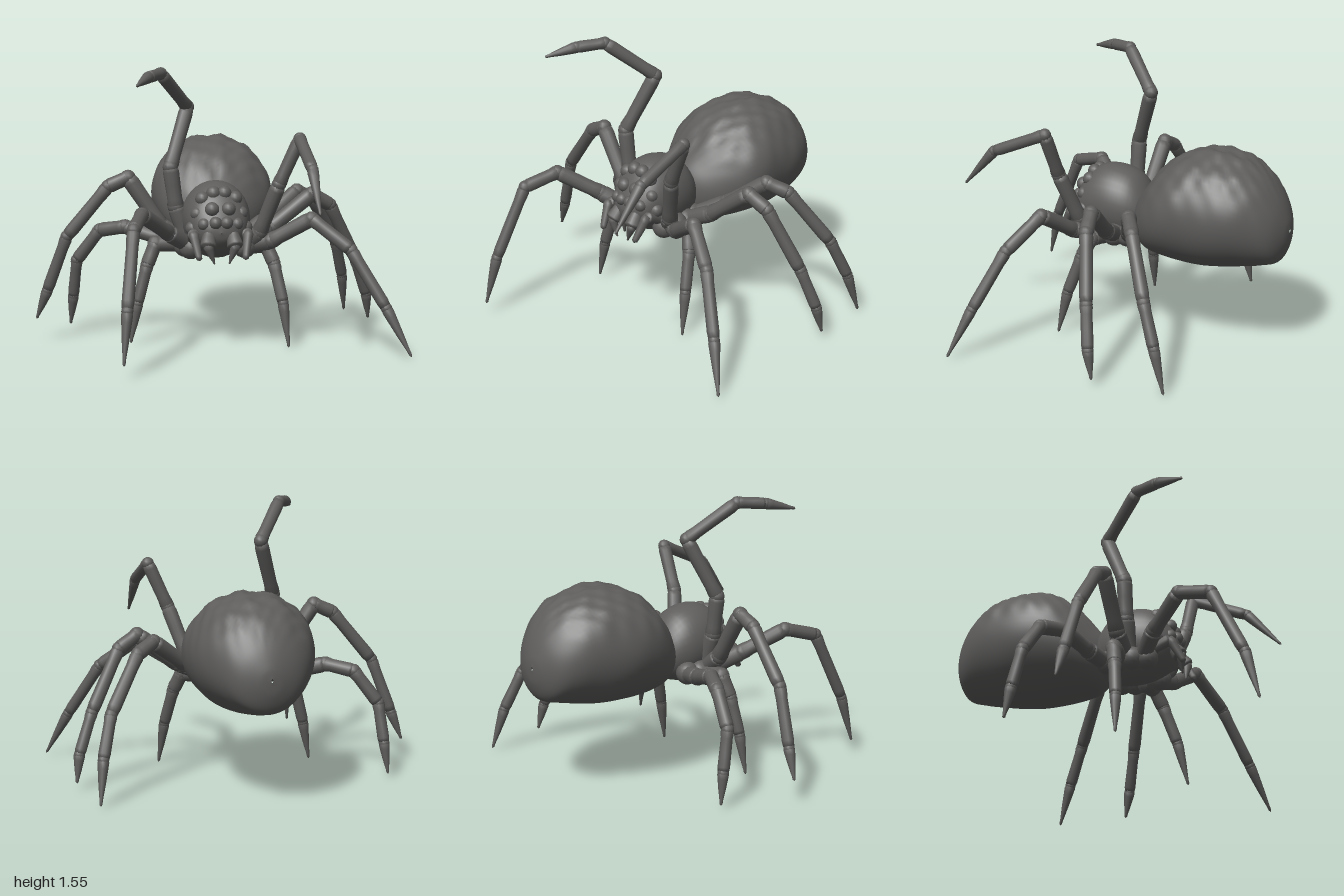
import * as THREE from 'three';
import { mergeVertices } from 'three/addons/utils/BufferGeometryUtils.js';

const charcoal = new THREE.MeshStandardMaterial({ color: 0x5e5d5c });
charcoal.name = 'charcoal';

function add(parent, geometry, name) {
  const mesh = new THREE.Mesh(geometry, charcoal);
  mesh.name = name;
  parent.add(mesh);
  return mesh;
}

// Skin over cross-sections [z, bottom, top, halfWidth, centreX], ordered back to front
function loft(sections, rings, sides, relief) {
  const spine = new THREE.CatmullRomCurve3(sections.map(s => new THREE.Vector3(s[0], s[1], s[2])));
  const width = new THREE.CatmullRomCurve3(sections.map(s => new THREE.Vector3(s[0], s[3], s[4])));
  const pos = [], index = [];
  for (let i = 0; i <= rings; i++) {
    const p = spine.getPoint(i / rings), w = width.getPoint(i / rings);
    for (let j = 0; j < sides; j++) {
      const a = j / sides * Math.PI * 2;
      const k = 1 + (relief ? relief(p.x, a) : 0);
      pos.push(w.z + w.y * k * Math.cos(a), (p.y + p.z) / 2 + (p.z - p.y) / 2 * k * Math.sin(a), p.x);
      if (i < rings) {
        const q = i * sides + j, r = i * sides + (j + 1) % sides;
        index.push(q, r, r + sides, q, r + sides, q + sides);
      }
    }
  }
  const g = new THREE.BufferGeometry();
  g.setAttribute('position', new THREE.Float32BufferAttribute(pos, 3));
  g.setIndex(index);
  g.computeVertexNormals();
  return g;
}

// Limb segment: narrow at the start, flared near the far joint
function segment(parent, a, b, r0, r1, name) {
  const dir = b.clone().sub(a), L = dir.length();
  const profile = [[0, -r0 * 0.5], [r0 * 0.7, -r0 * 0.35], [r0 * 0.95, L * 0.06], [r0 * 0.85, L * 0.2],
    [(r0 + r1) * 0.46, L * 0.55], [r1, L * 0.88], [r1 * 0.9, L * 0.97], [0, L + r1 * 0.3]];
  const g = new THREE.LatheGeometry(profile.map(p => new THREE.Vector2(p[0], p[1])), 12);
  const mesh = add(parent, g, name);
  mesh.position.copy(a);
  mesh.quaternion.setFromUnitVectors(new THREE.Vector3(0, 1, 0), dir.normalize());
}

function limb(parent, points, name) {
  const group = new THREE.Group();
  group.name = name;
  const v = points.map(p => new THREE.Vector3(...p)), last = v.length - 1;
  const radius = i => i === last ? 0.009 : 0.053 - 0.02 * i / (last - 1);
  for (let i = 0; i < last; i++) {
    segment(group, v[i], v[i + 1], radius(i), radius(i + 1), i === last - 1 ? 'claw' : 'legSegment');
    if (i) {
      const joint = add(group, new THREE.SphereGeometry(radius(i) * 0.95, 12, 8), 'joint');
      joint.position.copy(v[i]);
    }
  }
  parent.add(group);
}

// Soft ridges and knobs over the upper back
function backRelief(z, a) {
  const up = Math.max(0, Math.sin(a)), along = Math.cos(a);
  const ends = THREE.MathUtils.smoothstep(z, -0.92, -0.75) * (1 - THREE.MathUtils.smoothstep(z, -0.2, -0.05));
  const veins = Math.sin(along * 13 + Math.sin(z * 14) * 1.3) * 0.018;
  const knobs = Math.sin(z * 52 + along * 6) * Math.sin(along * 17 + 1) * 0.022;
  const groove = -0.03 * Math.exp(-along * along * 300);
  return up * ends * (veins + knobs + groove) + 0.006 * Math.sin(z * 17 + a * 3) * ends;
}

export function createModel() {
  const model = new THREE.Group();
  model.name = 'spider';

  // Abdomen
  add(model, loft([
    [-0.935, 0.70, 0.72, 0.005, 0.06], [-0.925, 0.62, 0.78, 0.07, 0.06], [-0.88, 0.53, 0.89, 0.17, 0.06],
    [-0.80, 0.505, 1.0, 0.245, 0.06], [-0.70, 0.485, 1.07, 0.30, 0.06], [-0.60, 0.465, 1.1, 0.33, 0.055],
    [-0.50, 0.455, 1.11, 0.345, 0.05], [-0.40, 0.455, 1.1, 0.348, 0.05], [-0.30, 0.46, 1.06, 0.335, 0.05],
    [-0.20, 0.47, 0.98, 0.29, 0.045], [-0.10, 0.49, 0.86, 0.20, 0.04], [-0.04, 0.54, 0.78, 0.12, 0.03],
    [0.0, 0.64, 0.66, 0.005, 0.02],
  ], 64, 64, backRelief), 'abdomen');

  // Head and thorax shell
  add(model, loft([
    [-0.10, 0.62, 0.64, 0.005, 0], [-0.08, 0.56, 0.76, 0.10, 0], [0.0, 0.50, 0.88, 0.165, 0],
    [0.10, 0.49, 0.92, 0.19, 0], [0.20, 0.50, 0.92, 0.185, 0], [0.28, 0.53, 0.88, 0.165, 0],
    [0.34, 0.57, 0.80, 0.13, 0], [0.38, 0.62, 0.72, 0.07, 0], [0.39, 0.66, 0.67, 0.005, 0],
  ], 32, 32), 'thorax');

  // Knobbly brow and eyes, mirrored
  const knobs = [[0.03, 0.87, 0.27, 0.04], [0.09, 0.84, 0.27, 0.04], [0.045, 0.79, 0.335, 0.04],
    [0.12, 0.76, 0.29, 0.038], [0.03, 0.72, 0.37, 0.035], [0.09, 0.71, 0.345, 0.035], [0.145, 0.68, 0.28, 0.04]];
  for (const s of [1, -1]) {
    for (const [x, y, z, r] of knobs) {
      const eye = add(model, mergeVertices(new THREE.SphereGeometry(r, 14, 10)), 'eye');
      eye.position.set(s * x, y, z);
    }
    // Jaws, fangs and short feelers
    const V = (x, y, z) => new THREE.Vector3(s * x, y, z);
    segment(model, V(0.06, 0.68, 0.33), V(0.075, 0.59, 0.40), 0.04, 0.045, 'jaw');
    segment(model, V(0.075, 0.6, 0.40), V(0.04, 0.5, 0.40), 0.03, 0.006, 'fang');
    segment(model, V(0.14, 0.62, 0.26), V(0.15, 0.66, 0.36), 0.035, 0.032, 'feeler');
    segment(model, V(0.15, 0.66, 0.36), V(0.125, 0.53, 0.43), 0.03, 0.018, 'feelerTip');
    // Hip lobes along the underside
    for (let i = 0; i < 4; i++) {
      const hip = add(model, new THREE.SphereGeometry(0.065, 14, 10), 'hip');
      hip.position.set(s * (0.15 + (i % 3 ? 0.02 : 0)), 0.565, 0.0 + i * 0.075);
    }
  }

  // Limbs from hip to claw
  limb(model, [[-0.16, 0.6, 0.13], [-0.22, 0.78, 0.13], [-0.25, 1.0, 0.13], [-0.14, 1.32, 0.0],
    [-0.31, 1.52, 0.22], [-0.39, 1.51, 0.36], [-0.465, 1.475, 0.52]], 'raisedRightLeg');
  limb(model, [[-0.15, 0.57, 0.2], [-0.28, 0.66, 0.3], [-0.44, 0.79, 0.48], [-0.5, 0.74, 0.67],
    [-0.55, 0.35, 0.85], [-0.575, 0.08, 0.92]], 'frontRightLeg');
  limb(model, [[-0.15, 0.56, 0.12], [-0.3, 0.67, 0.1], [-0.48, 0.94, 0.08], [-0.59, 0.89, 0.07],
    [-0.82, 0.61, 0.04], [-0.93, 0.3, 0.0], [-0.99, 0.14, -0.02]], 'outerRightLeg');
  limb(model, [[-0.15, 0.56, 0.08], [-0.33, 0.57, 0.09], [-0.38, 0.45, 0.11], [-0.435, 0.24, 0.13],
    [-0.475, 0.02, 0.14]], 'innerRightLeg');
  limb(model, [[-0.14, 0.56, 0.0], [-0.3, 0.58, -0.06], [-0.48, 0.63, -0.14], [-0.62, 0.6, -0.23],
    [-0.75, 0.42, -0.28], [-0.77, 0.2, -0.33], [-0.785, 0.03, -0.36]], 'backRightLeg');
  limb(model, [[0.15, 0.56, 0.2], [0.23, 0.65, 0.26], [0.32, 0.92, 0.34], [0.43, 1.17, 0.36],
    [0.44, 1.04, 0.68], [0.445, 0.83, 0.87]], 'raisedLeftLeg');
  limb(model, [[0.15, 0.56, 0.18], [0.29, 0.6, 0.27], [0.5, 0.73, 0.35], [0.7, 0.57, 0.46],
    [0.87, 0.27, 0.58], [0.99, 0.02, 0.67]], 'frontLeftLeg');
  limb(model, [[0.14, 0.55, 0.13], [0.28, 0.56, 0.16], [0.32, 0.46, 0.2], [0.36, 0.25, 0.27],
    [0.385, 0.01, 0.32]], 'innerLeftLeg');
  limb(model, [[0.15, 0.56, 0.07], [0.33, 0.64, 0.04], [0.57, 0.82, 0.0], [0.68, 0.75, -0.03],
    [0.85, 0.42, -0.12], [0.93, 0.2, -0.17], [0.95, 0.05, -0.2]], 'outerLeftLeg');
  limb(model, [[0.14, 0.56, 0.0], [0.32, 0.66, -0.1], [0.52, 0.81, -0.2], [0.62, 0.76, -0.27],
    [0.8, 0.47, -0.43], [0.86, 0.25, -0.52], [0.89, 0.02, -0.59]], 'backLeftLeg');

  return model;
}
